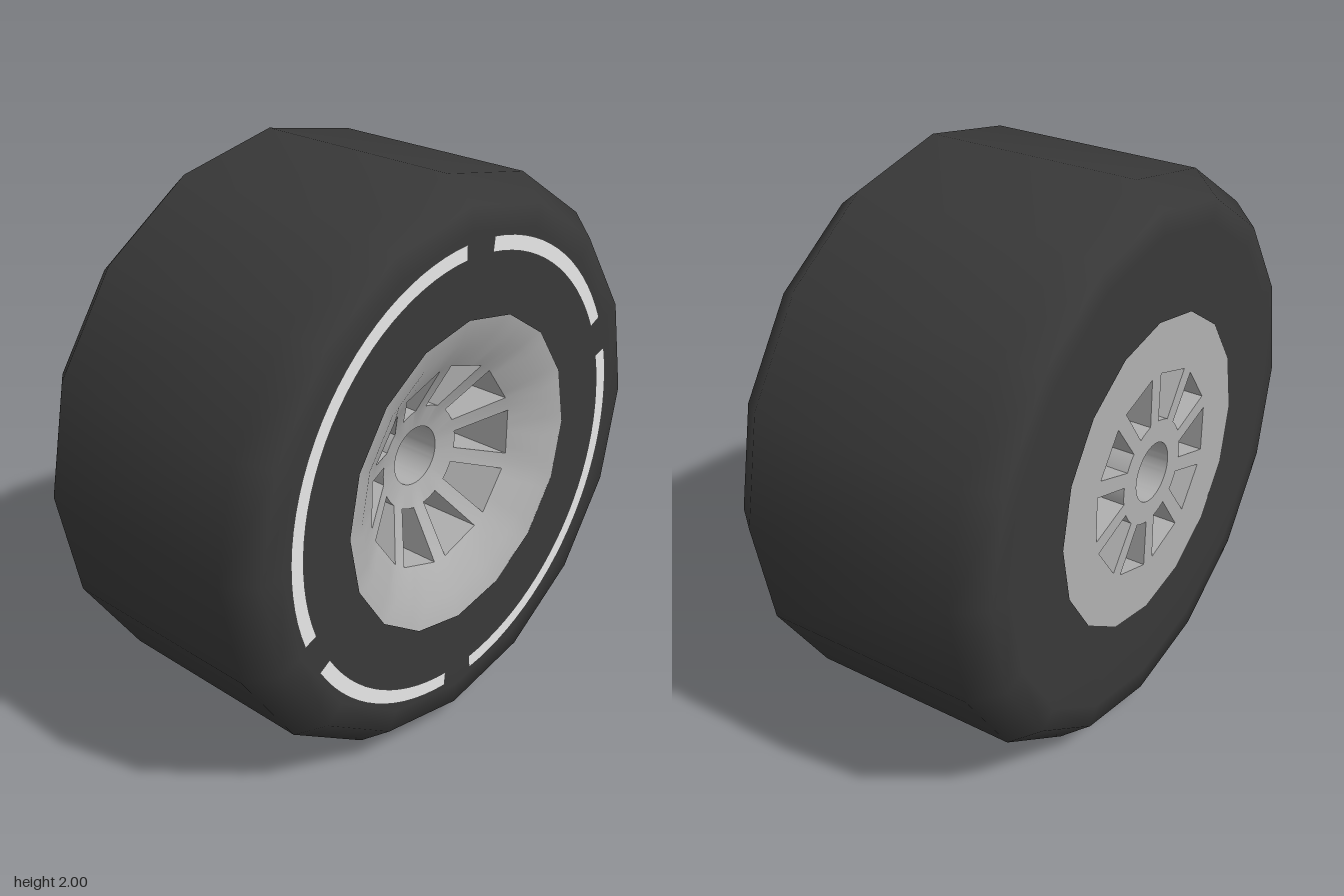
import * as THREE from 'three';
import { toCreasedNormals } from 'three/addons/utils/BufferGeometryUtils.js';

const rad = THREE.MathUtils.degToRad;

function material(name, color) {
  const m = new THREE.MeshStandardMaterial({ color });
  m.name = name;
  return m;
}

// Tyre: 16-sided profile turned around the x axis
function tyreGeometry() {
  const half = [[0.55, 0.49], [0.84, 0.49], [0.92, 0.485], [1, 0.385]];
  const profile = [
    ...half.map(([r, x]) => new THREE.Vector2(r, -x)),
    ...half.slice().reverse().map(([r, x]) => new THREE.Vector2(r, x)),
  ];
  return new THREE.LatheGeometry(profile, 16).rotateZ(-Math.PI / 2);
}

// Rim: loops of 80 points (4.5 degree steps), with ten windows cut right through
function rimGeometry() {
  const N = 80, STEP = 360 / N;
  const positions = [], index = [];

  // radius rules for the loops
  const round = r => j => [r, j * STEP];
  const sixteenSided = r => j => {
    const off = ((j * STEP) % 22.5) - 11.25;
    return [r * Math.cos(rad(11.25)) / Math.cos(rad(off)), j * STEP];
  };
  const windowOuter = r => j => {
    const off = Math.abs((j % 8) * STEP - 18);
    return [off > 13.5 ? r : r * Math.cos(rad(13.5)) / Math.cos(rad(off)), j * STEP];
  };
  const windowInner = r => j => {
    const o = j % 8 > 4 ? (j % 8) - 8 : j % 8, n = Math.abs(o);
    const spread = n < 1 ? 0 : 8 + (n - 1) * 10 / 3;
    return [r, (j - o) * STEP + Math.sign(o) * spread];
  };

  function loop(rule, x) {
    const start = positions.length / 3;
    for (let j = 0; j < N; j++) {
      const [r, a] = rule(j);
      positions.push(x, r * Math.cos(rad(a)), r * Math.sin(rad(a)));
    }
    return j => start + (j % N);
  }
  const quad = (a, b, c, d) => index.push(a, b, c, a, c, d);
  const isWindow = j => j % 8 >= 1 && j % 8 <= 6;
  function strip(A, B, keep = () => true) {
    for (let j = 0; j < N; j++) if (keep(j)) quad(A(j), A(j + 1), B(j + 1), B(j));
  }

  const lip = loop(sixteenSided(0.555), 0.487);
  const bowl = loop(sixteenSided(0.47), 0.465);
  const frontOuter = loop(windowOuter(0.36), 0.4);
  const frontInner = loop(windowInner(0.185), 0.3);
  const frontBore = loop(round(0.105), 0.28);
  const backBore = loop(round(0.105), -0.488);
  const backInner = loop(windowInner(0.185), -0.488);
  const backOuter = loop(windowOuter(0.36), -0.488);
  const backLip = loop(sixteenSided(0.555), -0.488);

  // dish, spokes, hub and back
  strip(lip, bowl);
  strip(bowl, frontOuter);
  strip(frontOuter, frontInner, j => !isWindow(j));
  strip(frontInner, frontBore);
  strip(frontBore, backBore);
  strip(backBore, backInner);
  strip(backInner, backOuter, j => !isWindow(j));
  strip(backOuter, backLip);

  // window walls
  strip(frontOuter, backOuter, isWindow);
  strip(backInner, frontInner, isWindow);
  for (let j = 0; j < N; j += 8) {
    const s = j + 1, e = j + 7;
    quad(frontOuter(s), backOuter(s), backInner(s), frontInner(s));
    quad(frontInner(e), backInner(e), backOuter(e), frontOuter(e));
  }

  const geometry = new THREE.BufferGeometry();
  geometry.setAttribute('position', new THREE.Float32BufferAttribute(positions, 3));
  geometry.setIndex(index);
  return toCreasedNormals(geometry, rad(50));
}

// Flat sidewall arc; angles in degrees from the top towards +z
function stripeGeometry(from, to) {
  const segments = Math.ceil((to - from) / 4);
  return new THREE.RingGeometry(0.757, 0.808, segments, 1, rad(90 + from), rad(to - from))
    .rotateY(Math.PI / 2)
    .translate(0.494, 0, 0);
}

export function createModel() {
  const rubber = material('black rubber', 0x383838);
  const metal = material('grey metal', 0xb0b0b0);
  const paint = material('light stripe paint', 0xe6e6e6);

  const wheel = new THREE.Group();
  wheel.name = 'wheel';
  wheel.position.y = 1;
  function add(name, geometry, mat, parent = wheel) {
    const mesh = new THREE.Mesh(geometry, mat);
    mesh.name = name;
    parent.add(mesh);
  }

  add('tyre', tyreGeometry(), rubber);
  add('rim', rimGeometry(), metal);

  const stripes = new THREE.Group();
  stripes.name = 'sidewallStripes';
  wheel.add(stripes);
  [[2, 111], [121, 175], [185, 285], [295, 352.5]].forEach(([from, to]) =>
    add('sidewallStripe', stripeGeometry(from, to), paint, stripes));

  const model = new THREE.Group();
  model.name = 'racingWheel';
  model.add(wheel);
  return model;
}
